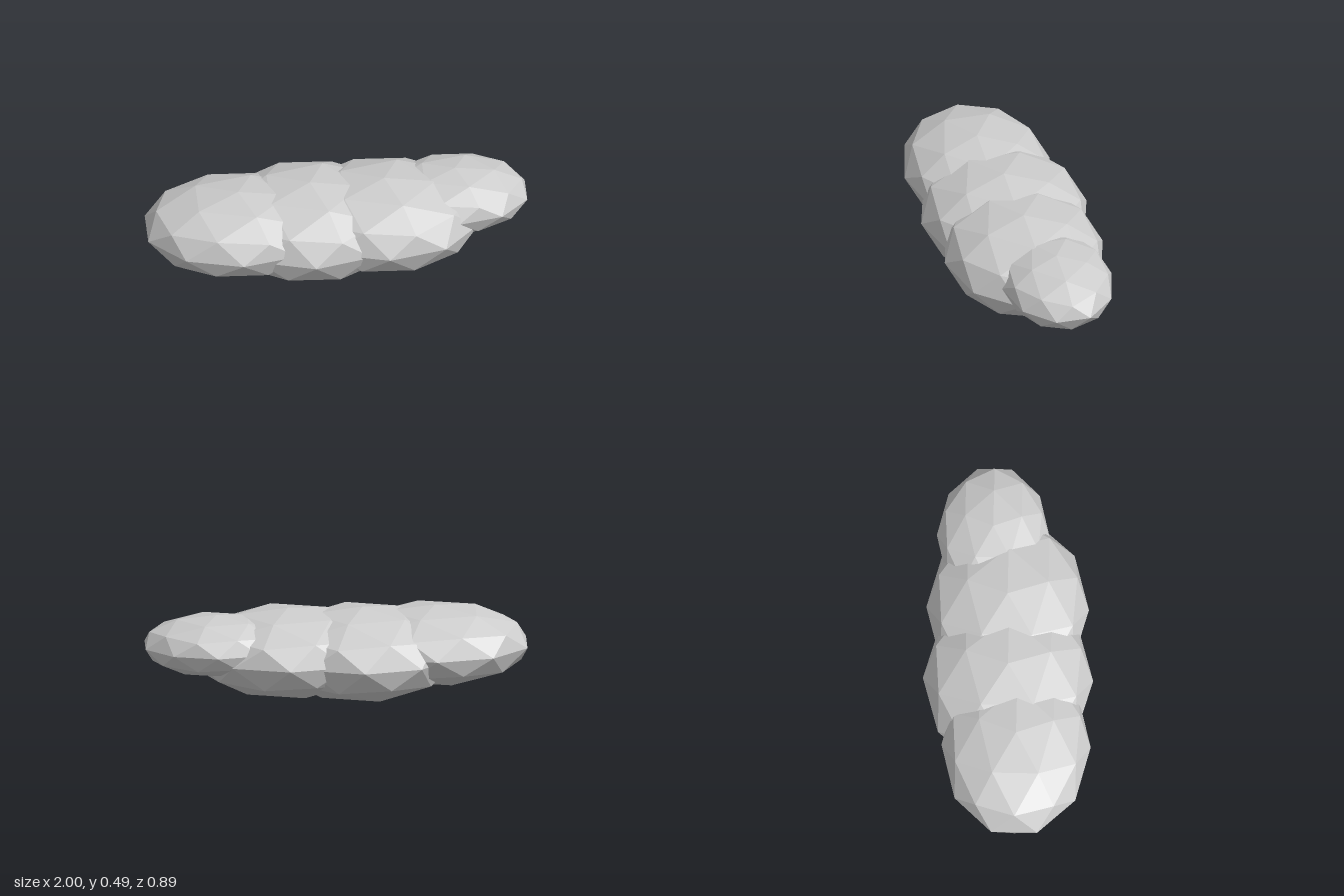
import * as THREE from 'three';

// Faceted ball standing on a vertex: five-sided rings around the vertical axis
function facetedBall() {
  const geometry = new THREE.IcosahedronGeometry(1, 1);
  geometry.rotateX(-Math.atan((1 + Math.sqrt(5)) / 2));
  geometry.rotateY(Math.PI / 2);
  return geometry;
}

// Overlapping puffs from the model's right to its left: centre and radii
const puffs = [
  { name: 'rightPuff', centre: [-0.52, 0.277, 0.05], radii: [0.505, 0.208, 0.39] },
  { name: 'middleRightPuff', centre: [-0.14, 0.246, 0], radii: [0.51, 0.246, 0.445] },
  { name: 'middleLeftPuff', centre: [0.25, 0.258, -0.01], radii: [0.51, 0.234, 0.425] },
  { name: 'leftPuff', centre: [0.628, 0.319, -0.093], radii: [0.391, 0.16, 0.295] },
];

export function createModel() {
  const cloud = new THREE.Group();
  cloud.name = 'cloud';
  const cloudGrey = new THREE.MeshStandardMaterial({ color: 0xcccccc });
  cloudGrey.name = 'cloudGrey';

  for (const { name, centre, radii } of puffs) {
    const geometry = facetedBall();
    geometry.scale(...radii);
    geometry.computeVertexNormals(); // unshared corners give flat facets
    const puff = new THREE.Mesh(geometry, cloudGrey);
    puff.name = name;
    puff.position.set(...centre);
    cloud.add(puff);
  }
  return cloud;
}
